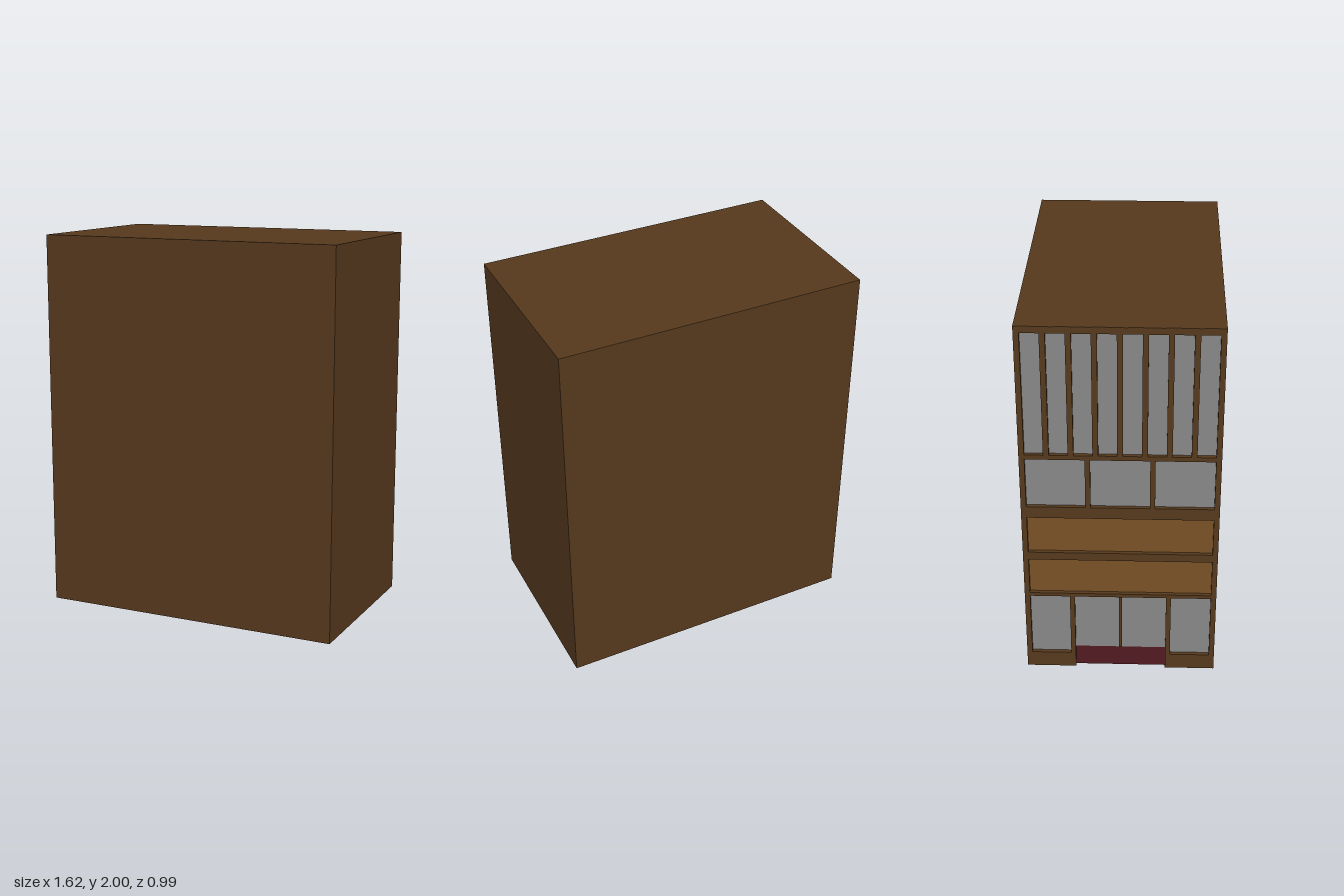
import * as THREE from 'three';

const W = 1.62, D = 0.985, H = 2, T = 0.02; // outer size and wall thickness
const FACE = -W / 2; // the shop facade lies on the -x side
const FRAME_DEPTH = 0.035, RECESS = 0.02;

const brown = new THREE.MeshStandardMaterial({ color: 0x56391d });
const tan = new THREE.MeshStandardMaterial({ color: 0x7a5226 });
const glass = new THREE.MeshStandardMaterial({ color: 0x888888 });
const red = new THREE.MeshStandardMaterial({ color: 0x521a20 });

function box(parent, name, material, size, position) {
  const mesh = new THREE.Mesh(new THREE.BoxGeometry(...size), material);
  mesh.name = name;
  mesh.position.set(...position);
  parent.add(mesh);
}

// Row of equal openings [z0, y0, z1, y1] between two edges
function row(count, z0, z1, y0, y1, gap) {
  const w = (z1 - z0 - gap * (count - 1)) / count;
  return Array.from({ length: count }, (_, i) => {
    const z = z0 + i * (w + gap);
    return [z, y0, z + w, y1];
  });
}

function rectPath([z0, y0, z1, y1]) {
  return new THREE.Path([[z0, y0], [z0, y1], [z1, y1], [z1, y0]].map(p => new THREE.Vector2(...p)));
}

// Thin slab set back in the facade, slightly larger than its opening
function infill(parent, name, material, [z0, y0, z1, y1], lap = 0.004) {
  box(parent, name, material,
    [0.008, y1 - y0 + 2 * lap, z1 - z0 + 2 * lap],
    [FACE + RECESS + 0.004, (y0 + y1) / 2, (z0 + z1) / 2]);
}

export function createModel() {
  const model = new THREE.Group();
  model.name = 'building';

  // Plain shell, open underneath
  const shell = new THREE.Group();
  shell.name = 'shell';
  model.add(shell);
  box(shell, 'roof', brown, [W, T, D], [0, H - T / 2, 0]);
  box(shell, 'endWall', brown, [T, H - T, D], [W / 2 - T / 2, (H - T) / 2, 0]);
  for (const s of [-1, 1])
    box(shell, s > 0 ? 'frontWall' : 'backWall', brown, [W - T, H - T, T],
      [-T / 2, (H - T) / 2, s * (D / 2 - T / 2)]);

  // Facade openings
  const e = 0.465, dz = 0.235, doorTop = 0.46;
  const upper = row(8, -e, e, 1.31, 1.965, 0.028);
  const middle = row(3, -e, e, 1.01, 1.285, 0.026);
  const panels = [[-e, 0.735, e, 0.945], [-e, 0.48, e, 0.69]];
  const shop = [[-e, 0.09, -dz - 0.025, doorTop], [dz + 0.025, 0.09, e, doorTop]];

  // Facade frame with a notch for the doors
  const z = D / 2 - 0.001;
  const outline = new THREE.Shape([
    [-z, 0], [-dz, 0], [-dz, doorTop], [dz, doorTop], [dz, 0],
    [z, 0], [z, H - 0.001], [-z, H - 0.001],
  ].map(p => new THREE.Vector2(...p)));
  outline.holes = [...upper, ...middle, ...panels, ...shop].map(rectPath);
  const geometry = new THREE.ExtrudeGeometry(outline, { depth: FRAME_DEPTH, bevelEnabled: false });
  geometry.rotateY(-Math.PI / 2).translate(FACE + FRAME_DEPTH - 0.0005, 0, 0);
  const frame = new THREE.Mesh(geometry, brown);
  frame.name = 'facadeFrame';
  model.add(frame);

  // Glazing and sign panels
  upper.forEach(r => infill(model, 'upperWindow', glass, r));
  middle.forEach(r => infill(model, 'middleWindow', glass, r));
  shop.forEach(r => infill(model, 'shopWindow', glass, r));
  panels.forEach(r => infill(model, 'signPanel', tan, r));

  // Double doors with red kick plates and frames
  const doors = new THREE.Group();
  doors.name = 'doors';
  model.add(doors);
  for (const s of [-1, 1]) {
    const z0 = s > 0 ? 0 : -dz, z1 = z0 + dz;
    infill(doors, 'doorGlass', glass, [z0, 0.12, z1, doorTop], 0);
    infill(doors, 'kickPlate', red, [z0, 0, z1, 0.12], 0);
  }
  box(doors, 'doorMullion', brown, [0.022, doorTop - 0.12, 0.014],
    [FACE + RECESS + 0.004, (doorTop + 0.12) / 2, 0]);
  return model;
}
